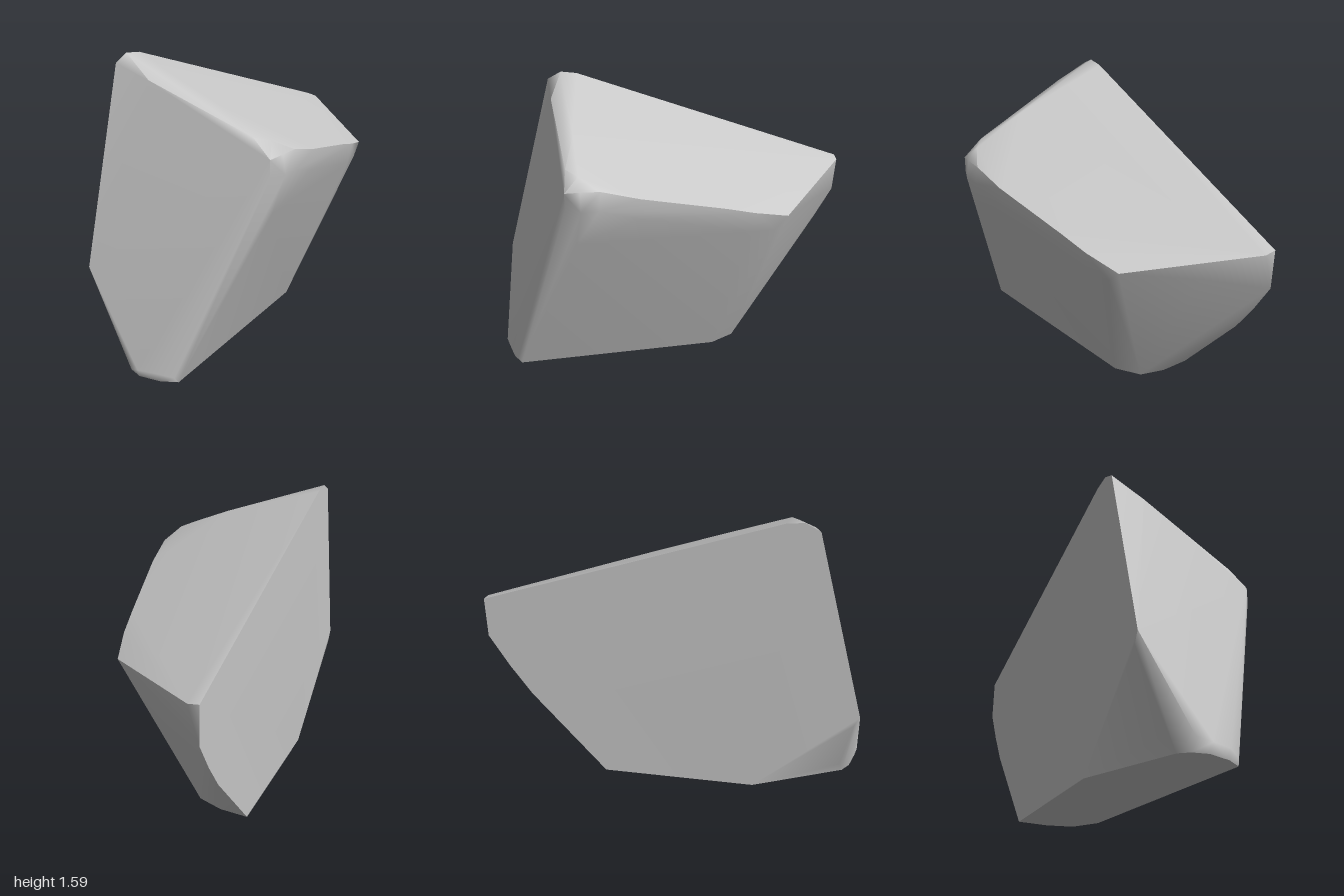
import * as THREE from 'three';
import { ConvexGeometry } from 'three/addons/geometries/ConvexGeometry.js';

// Area-weighted normals, blended only across gentle folds so the bevels look soft
function softenBevels(geometry, maxAngle) {
  const pos = geometry.attributes.position;
  const faces = [];
  const corners = new Map();
  const key = (i) => [pos.getX(i), pos.getY(i), pos.getZ(i)].map((v) => v.toFixed(4)).join();
  for (let i = 0; i < pos.count; i += 3) {
    const [a, b, c] = [0, 1, 2].map((k) => new THREE.Vector3().fromBufferAttribute(pos, i + k));
    const weighted = b.sub(a).cross(c.sub(a));
    const face = { weighted, unit: weighted.clone().normalize() };
    faces.push(face);
    for (let k = 0; k < 3; k++) {
      const id = key(i + k);
      if (!corners.has(id)) corners.set(id, []);
      corners.get(id).push(face);
    }
  }
  const limit = Math.cos(maxAngle);
  const normal = new THREE.Vector3();
  for (let i = 0; i < pos.count; i++) {
    const own = faces[Math.floor(i / 3)];
    normal.set(0, 0, 0);
    for (const f of corners.get(key(i))) if (f.unit.dot(own.unit) > limit) normal.add(f.weighted);
    normal.normalize();
    geometry.attributes.normal.setXYZ(i, normal.x, normal.y, normal.z);
  }
  return geometry;
}

export function createModel() {
  const stone = new THREE.MeshStandardMaterial({ color: 0xc8c8c8 });
  stone.name = 'light grey stone';

  // Footprint on the ground, as x, z
  const foot = [
    [-0.46, 0.43], [-0.25, 0.92], [-0.2, 0.96], [-0.12, 0.98], [0, 0.95], [0.08, 0.9],
    [-0.07, -0.23], [-0.16, -0.36], [-0.3, -0.4], [-0.46, -0.4],
  ].map(([x, z]) => [x, 0, z]);

  // Outline of the flat cut side, as y, z
  const cutSide = [
    [0.39, 0.86], [0.46, 0.94], [0.52, 0.97], [1.545, 0.695], [1.585, 0.62], [1.575, 0.53],
    [1.05, -1], [0.83, -1], [0.65, -0.9], [0.48, -0.79],
  ].map(([y, z]) => [-0.46, y, z]);

  // Worn lower front lip
  const frontLip = [
    [-0.3, 0.08, 0.9], [-0.19, 0.07, 0.985], [-0.11, 0.05, 1], [0, 0.05, 0.965], [0.07, 0.03, 0.92],
  ];

  // Bevel along the top front ridge
  const ridge = [
    [-0.26, 1.48, 0.67], [0.32, 1.27, 0.575], [0.09, 1.38, 0.54], [0.38, 1.25, 0.51], [0.33, 1.24, 0.44],
  ];

  // Rounded shoulder where the front, top and outer side meet
  const shoulder = [
    [0.425, 1.18, 0.58], [0.425, 1.09, 0.58], [0.44, 1.19, 0.5], [0.457, 1.09, 0.5],
    [0.4, 0.89, 0.53], [0.437, 1.19, 0.4], [0.45, 1.09, 0.41],
  ];

  // Bevel between the top and the outer side
  const outerEdge = [
    [0.41, 1.135, 0.2], [0.395, 1.02, 0.2], [0.3, 1.025, -0.25], [0.26, 0.98, -0.41],
    [0.24, 0.865, -0.4], [0.2, 0.86, -0.53], [0.19, 0.93, -0.6],
  ];

  // Narrow rear tip and the bevel under its upper edge
  const rear = [[-0.4, 1.04, -1], [-0.43, 0.96, -1], [-0.15, 0.9, -0.83]];

  const points = [foot, cutSide, frontLip, ridge, shoulder, outerEdge, rear]
    .flat()
    .map((p) => new THREE.Vector3(...p));
  const rock = new THREE.Mesh(softenBevels(new ConvexGeometry(points), 0.8), stone);
  rock.name = 'rock';

  const model = new THREE.Group();
  model.name = 'cutBoulder';
  model.add(rock);
  return model;
}
